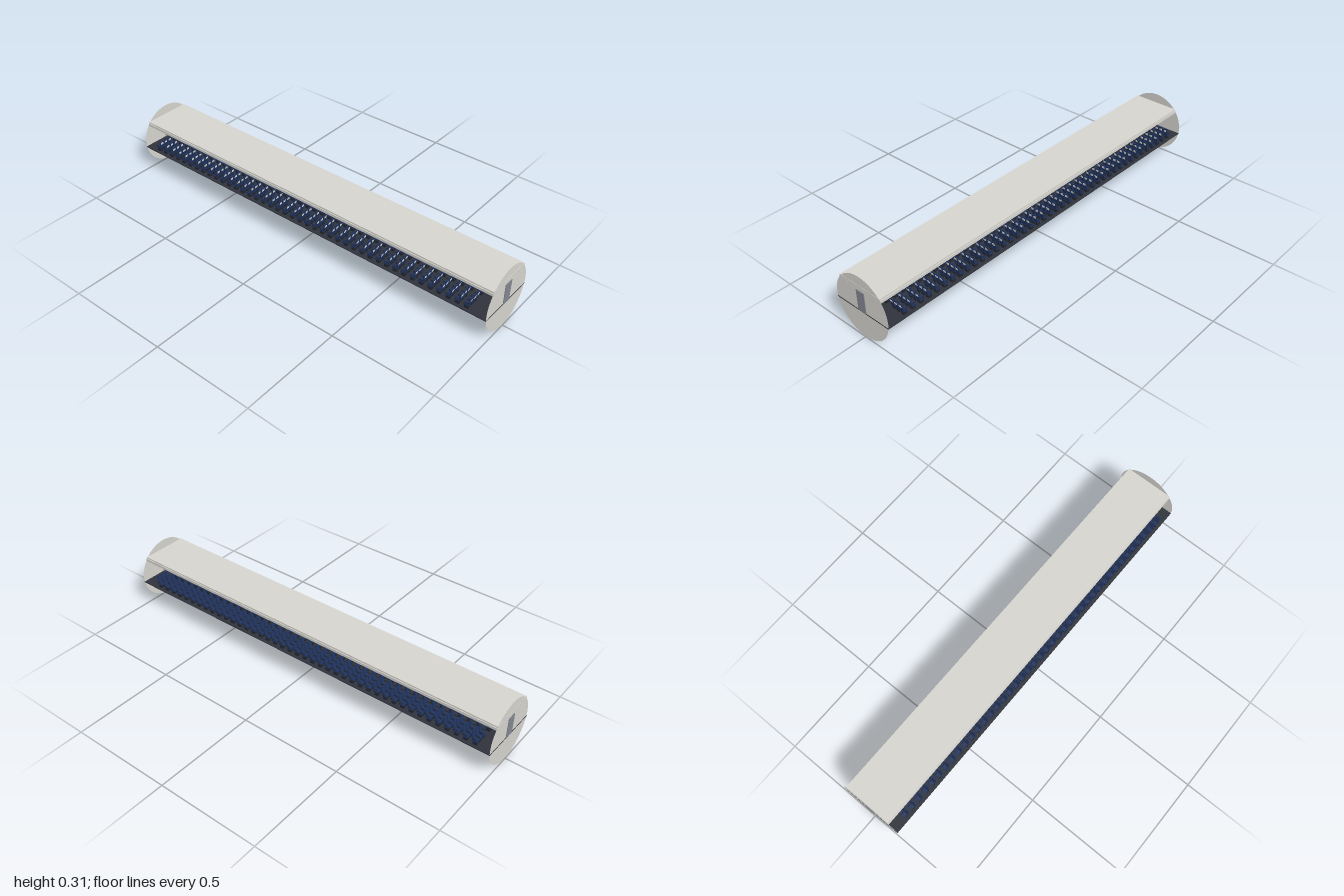
import * as THREE from 'three';
import { mergeGeometries } from 'three/addons/utils/BufferGeometryUtils.js';

const mat = (name, color, side = THREE.FrontSide) => {
  const m = new THREE.MeshStandardMaterial({ color, side });
  m.name = name;
  return m;
};

const box = (w, h, d, x, y, z, tilt = 0) =>
  new THREE.BoxGeometry(w, h, d).rotateX(tilt).translate(x, y, z);

export function createModel() {
  const group = new THREE.Group();
  const panel = mat('warm white panel', 0xd6d4ce, THREE.DoubleSide);
  const doorGrey = mat('door grey', 0x828791);
  const carpet = mat('dark carpet', 0x2f333b);
  const fabric = mat('navy fabric', 0x21345f);
  const frame = mat('dark seat frame', 0x23262d);
  const pale = mat('pale headrest cover', 0xd9dcda);

  const add = (name, geometry, material) => {
    const mesh = new THREE.Mesh(geometry, material);
    mesh.name = name;
    group.add(mesh);
    return mesh;
  };

  // Cabin floor
  add('floor', box(0.305, 0.004, 1.998, 0, 0.13, 0), carpet);

  // Ceiling with a luggage bin along each side
  add('ceiling', box(0.236, 0.008, 1.998, 0, 0.256, 0), panel);
  for (const s of [-1, 1]) {
    add('overheadBin', box(0.05, 0.013, 1.998, s * 0.097, 0.2465, 0), panel);
  }

  // Round bulkheads with a door on each face
  for (const s of [-1, 1]) {
    const disc = add('bulkhead', new THREE.CircleGeometry(0.1535, 40), panel);
    disc.position.set(0, 0.1535, s * 0.998);
    add('door', box(0.046, 0.105, 0.006, 0, 0.1825, s * 0.998), doorGrey);
  }

  // One seat facing -z, its back leaning towards +z
  const lean = 0.2;
  const seatParts = {
    seatFabric: {
      material: fabric,
      geometry: mergeGeometries([
        box(0.021, 0.009, 0.022, 0, 0.1505, 0),
        box(0.021, 0.036, 0.005, 0, 0.168, 0.013, lean),
        box(0.014, 0.007, 0.005, 0, 0.188, 0.0165, lean),
      ]),
    },
    seatFrame: {
      material: frame,
      geometry: mergeGeometries([
        box(0.017, 0.014, 0.018, 0, 0.139, 0),
        box(0.002, 0.003, 0.019, -0.0118, 0.1625, 0.001),
        box(0.002, 0.003, 0.019, 0.0118, 0.1625, 0.001),
      ]),
    },
    seatBackPanel: {
      material: pale,
      geometry: box(0.014, 0.012, 0.001, 0, 0.1775, 0.0178, lean),
    },
  };

  // 42 rows of three blocks of three seats, with two aisles
  const rows = 42, pitch = 0.0443, firstRow = 0.896;
  const columns = [];
  for (const block of [-0.1035, 0, 0.1035]) {
    for (const i of [-1, 0, 1]) columns.push(block + i * 0.0258);
  }
  for (const [name, part] of Object.entries(seatParts)) {
    const copies = [];
    for (let r = 0; r < rows; r++) {
      for (const x of columns) {
        copies.push(part.geometry.clone().translate(x, 0, firstRow - r * pitch));
      }
    }
    add(name, mergeGeometries(copies), part.material);
  }

  return group;
}
